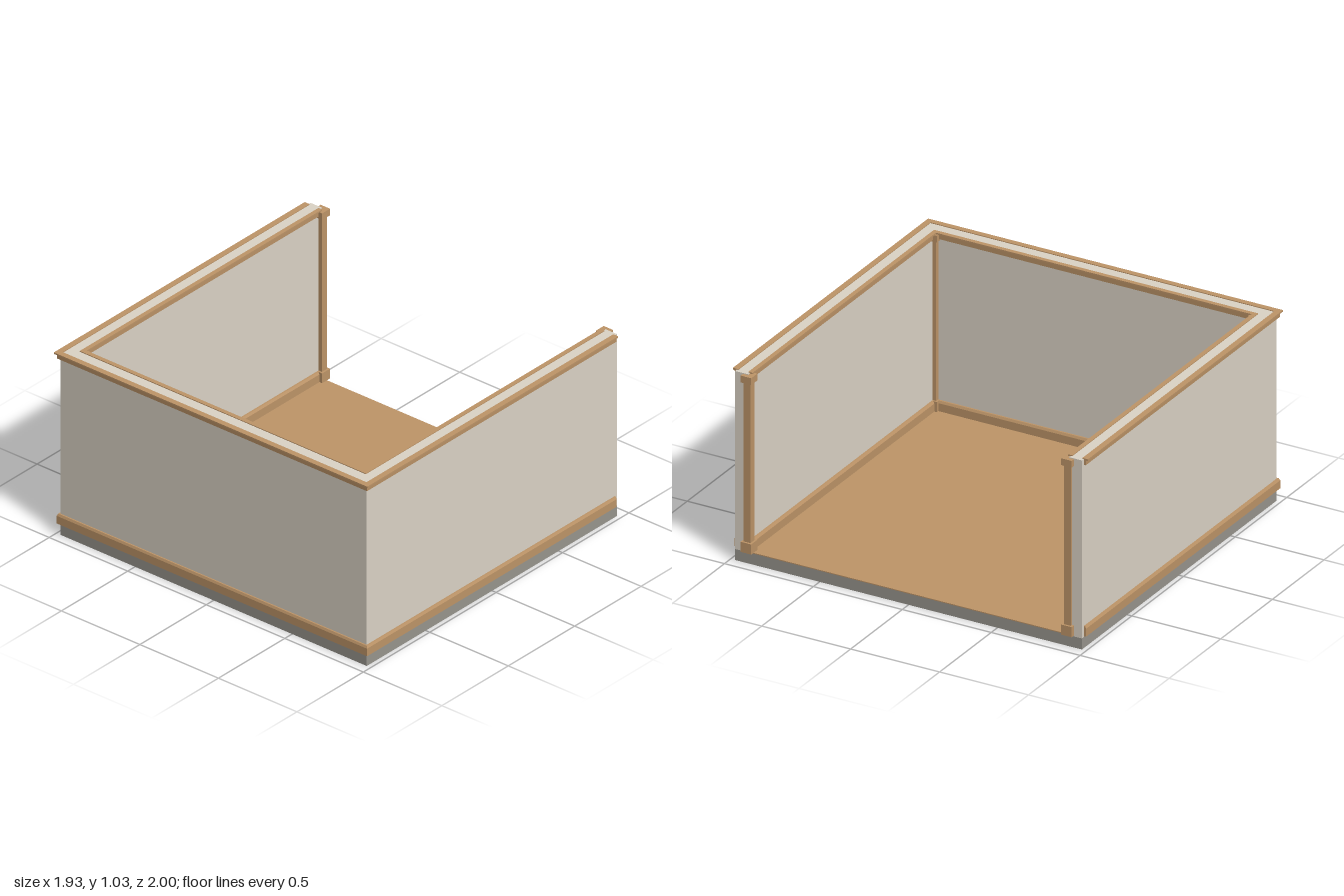
import * as THREE from 'three';

const wood = new THREE.MeshStandardMaterial({ color: 0xbe9568 });
wood.name = 'wood';
const plaster = new THREE.MeshStandardMaterial({ color: 0xdcd4c6 });
plaster.name = 'plaster';
const concrete = new THREE.MeshStandardMaterial({ color: 0x98958d });
concrete.name = 'concrete';

// Wall faces: the room is open on the +x side
const END = 0.94, TRIM_END = 0.922, FLOOR = 0.065, TOP = 1.026;
const OUTER = { x: -0.945, z: 0.975 }, INNER = { x: -0.868, z: 0.903 };

function box(group, name, material, [x0, x1], [y0, y1], [z0, z1]) {
  const mesh = new THREE.Mesh(new THREE.BoxGeometry(x1 - x0, y1 - y0, z1 - z0), material);
  mesh.position.set((x0 + x1) / 2, (y0 + y1) / 2, (z0 + z1) / 2);
  mesh.name = name;
  group.add(mesh);
}

// Sweeps a counter-clockwise profile of [distance out of wall, y] around the
// three walls with mitred corners; side is +1 outside and -1 inside.
function trim(group, name, face, side, profile) {
  const rings = [0, 1, 2, 3].map(i => profile.map(([d, y]) => {
    const x = i === 0 || i === 3 ? TRIM_END : face.x - side * d;
    const z = (face.z + side * d) * (i < 2 ? 1 : -1);
    return [x, y, z];
  }));
  const positions = [];
  const tri = (a, b, c) => positions.push(...a, ...(side > 0 ? [...c, ...b] : [...b, ...c]));
  const n = profile.length;
  for (let i = 0; i < 3; i++) {
    for (let j = 0; j < n; j++) {
      const k = (j + 1) % n;
      const a = rings[i][j], b = rings[i][k], c = rings[i + 1][k], d = rings[i + 1][j];
      tri(a, c, b);
      tri(a, d, c);
    }
  }
  // end caps
  const faces = THREE.ShapeUtils.triangulateShape(profile.map(p => new THREE.Vector2(...p)), []);
  for (const [a, b, c] of faces) {
    tri(rings[0][a], rings[0][b], rings[0][c]);
    tri(rings[3][a], rings[3][c], rings[3][b]);
  }
  const geometry = new THREE.BufferGeometry();
  geometry.setAttribute('position', new THREE.Float32BufferAttribute(positions, 3));
  geometry.computeVertexNormals();
  const mesh = new THREE.Mesh(geometry, wood);
  mesh.name = name;
  group.add(mesh);
}

// Square post with a wider block at each end
function post(name, x, z, half, blockHalf) {
  const group = new THREE.Group();
  group.name = name;
  const span = (c, h) => [c - h, c + h];
  box(group, 'shaft', wood, span(x, half), [FLOOR, 1.0], span(z, half));
  box(group, 'base', wood, span(x, blockHalf), [FLOOR, 0.12], span(z, blockHalf));
  box(group, 'capital', wood, span(x, blockHalf), [0.985, 1.022], span(z, blockHalf));
  return group;
}

export function createModel() {
  const model = new THREE.Group();
  model.name = 'openRoom';

  // Foundation and floor
  box(model, 'foundation', concrete, [OUTER.x, END], [0, 0.06], [-OUTER.z, OUTER.z]);
  box(model, 'floor', wood, [INNER.x, END], [0.06, FLOOR], [-INNER.z, INNER.z]);

  // Three walls
  box(model, 'rightEndWall', plaster, [OUTER.x, INNER.x], [0.06, TOP], [-INNER.z, INNER.z]);
  box(model, 'frontWall', plaster, [OUTER.x, END], [0.06, TOP], [INNER.z, OUTER.z]);
  box(model, 'backWall', plaster, [OUTER.x, END], [0.06, TOP], [-OUTER.z, -INNER.z]);

  // Skirting and crown trim with a small stepped lip
  const skirting = w => [[-0.005, FLOOR], [w, FLOOR], [w, 0.108], [w * 0.6, 0.12], [-0.005, 0.12]];
  const crown = w => [[-0.008, 0.995], [w * 0.5, 0.995], [w * 0.55, 1.018], [w, 1.022], [w, 1.03], [-0.008, 1.03]];
  trim(model, 'outerSkirting', OUTER, 1, skirting(0.013));
  trim(model, 'innerSkirting', INNER, -1, skirting(0.015));
  trim(model, 'outerCrown', OUTER, 1, crown(0.023));
  trim(model, 'innerCrown', INNER, -1, crown(0.016));

  // Posts at the wall ends and in the inner corners
  for (const s of [1, -1]) {
    const side = s > 0 ? 'front' : 'back';
    model.add(post(side + 'EndPost', 0.933, s * 0.901, 0.019, 0.03));
    model.add(post(side + 'CornerPost', INNER.x, s * INNER.z, 0.02, 0.029));
  }
  return model;
}
